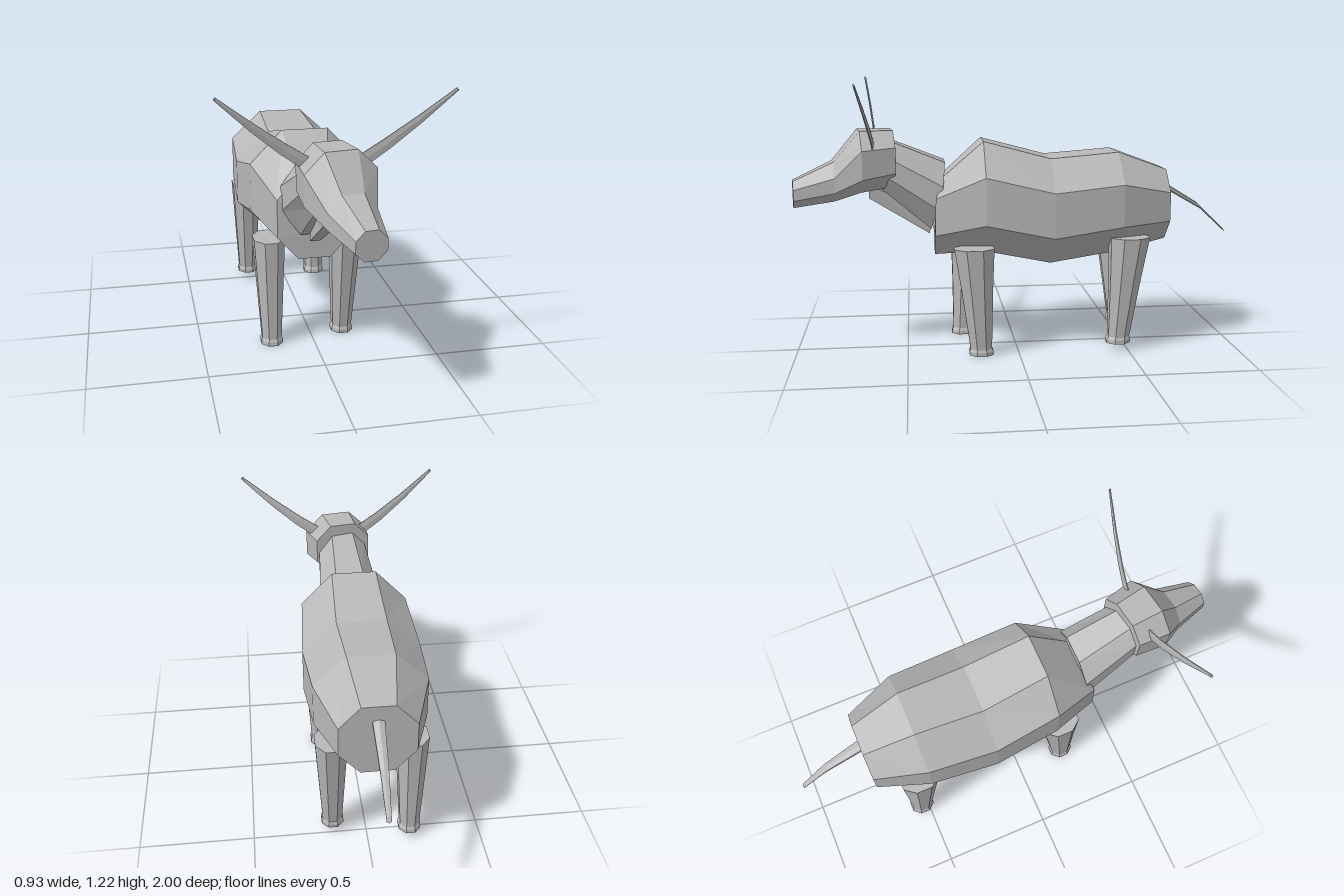
import * as THREE from 'three';

const grey = new THREE.MeshStandardMaterial({ color: 0xb8b8b8, flatShading: true });
grey.name = 'greyHide';

const V = (x, y, z) => new THREE.Vector3(x, y, z);

// Skin a list of equal-length rings (counter-clockwise about the loft direction) and cap both ends
function loft(name, rings) {
  const pos = [];
  const tri = (...pts) => pts.forEach((p) => pos.push(p.x, p.y, p.z));
  const n = rings[0].length;
  for (let k = 0; k < rings.length - 1; k++) {
    const p = rings[k], q = rings[k + 1];
    for (let i = 0; i < n; i++) {
      const j = (i + 1) % n;
      tri(p[i], p[j], q[j]);
      tri(p[i], q[j], q[i]);
    }
  }
  const first = rings[0], last = rings[rings.length - 1];
  for (let i = 1; i < n - 1; i++) {
    tri(first[0], first[i + 1], first[i]);
    tri(last[0], last[i], last[i + 1]);
  }
  const g = new THREE.BufferGeometry();
  g.setAttribute('position', new THREE.Float32BufferAttribute(pos, 3));
  g.computeVertexNormals();
  const mesh = new THREE.Mesh(g, grey);
  mesh.name = name;
  return mesh;
}

// Octagonal section: half widths, four heights from top to bottom, and z at each height
function section(cx, w, flat, [top, up, low, bottom], z) {
  const [zt, zu, zl, zb] = Array.isArray(z) ? z : [z, z, z, z];
  return [
    V(cx + w, low, zl), V(cx + w, up, zu), V(cx + flat, top, zt), V(cx - flat, top, zt),
    V(cx - w, up, zu), V(cx - w, low, zl), V(cx - flat, bottom, zb), V(cx + flat, bottom, zb),
  ];
}

// Elliptical ring spanned by half axes u and v
function ring(c, u, v, n = 8) {
  return Array.from({ length: n }, (_, i) => {
    const a = ((i + 0.5) / n) * Math.PI * 2, s = 1 / Math.cos(Math.PI / n);
    return c.clone().addScaledVector(u, Math.cos(a) * s).addScaledVector(v, Math.sin(a) * s);
  });
}

// Tapered leg with a slightly flared hoof
function leg(name, x, topZ, footZ, footY, topY) {
  const side = Math.sign(x + 0.02);
  // fraction of height, half width in x, half depth in z
  const levels = [[0, 0.048, 0.054], [0.035, 0.048, 0.054], [0.06, 0.043, 0.048],
    [0.62, 0.058, 0.07], [1, 0.068, 0.088]];
  return loft(name, levels.map(([t, rx, rz]) => ring(
    V(x + side * 0.004 * t, footY + (topY - footY) * t, THREE.MathUtils.lerp(footZ, topZ, t)),
    V(0, 0, rz), V(rx, 0, 0))));
}

export function createModel() {
  const model = new THREE.Group();
  model.name = 'longhornAnimal';

  // Barrel body from rump to chest
  model.add(loft('body', [
    section(-0.02, 0.16, 0.07, [0.815, 0.72, 0.59, 0.495], -0.69),
    section(-0.02, 0.24, 0.10, [0.90, 0.77, 0.582, 0.445], -0.46),
    section(-0.02, 0.26, 0.11, [0.875, 0.74, 0.54, 0.40], -0.15),
    section(-0.02, 0.24, 0.10, [0.955, 0.81, 0.60, 0.46], 0.15),
    section(-0.02, 0.16, 0.07, [0.80, 0.71, 0.545, 0.445], [0.325, 0.365, 0.37, 0.37]),
  ]));

  // Neck rising into the back of the head
  model.add(loft('neck', [
    section(-0.02, 0.14, 0.065, [0.86, 0.76, 0.66, 0.56], [0.32, 0.33, 0.355, 0.385]),
    section(-0.01, 0.11, 0.05, [0.965, 0.90, 0.82, 0.75], [0.58, 0.59, 0.60, 0.61]),
  ]));

  // Narrow fold of skin under the neck
  model.add(loft('dewlap', [
    [V(0.0, 0.53, 0.39), V(0.0, 0.62, 0.385), V(-0.045, 0.62, 0.385), V(-0.045, 0.53, 0.39)],
    [V(0.015, 0.70, 0.66), V(0.02, 0.76, 0.655), V(-0.05, 0.76, 0.655), V(-0.045, 0.70, 0.66)],
  ]));

  // Head, turned a little to one side
  const head = loft('head', [
    section(0, 0.13, 0.06, [1.005, 0.935, 0.822, 0.755], 0),
    section(0, 0.15, 0.068, [1.005, 0.925, 0.80, 0.735], 0.147),
    section(0, 0.10, 0.045, [0.87, 0.805, 0.74, 0.697], 0.263),
    section(0, 0.063, 0.027, [0.79, 0.755, 0.708, 0.673], 0.437),
  ]);
  head.position.set(-0.013, 0, 0.555);
  head.rotation.y = 0.15;
  model.add(head);

  // Long flat horns sweeping out and up
  for (const s of [1, -1]) {
    const path = [[0.09, 0.93, 0.63, 0.027], [0.2, 1.005, 0.64, 0.023],
      [0.32, 1.098, 0.658, 0.016], [0.46, 1.218, 0.684, 0.006]];
    const across = V(-0.6 * s, 0.8, 0).multiplyScalar(s);
    model.add(loft(s > 0 ? 'leftHorn' : 'rightHorn', path.map(([x, y, z, r]) =>
      ring(V(x * s, y, z), across.clone().multiplyScalar(r), V(0, 0, 0.004), 6))));
  }

  // Tail, built from tip to root
  const tailPath = [[0.513, -0.995, 0.01], [0.632, -0.87, 0.017], [0.745, -0.68, 0.025]];
  model.add(loft('tail', tailPath.map(([y, z, r]) =>
    ring(V(-0.02, y, z), V(r, 0, 0), V(0, 0.8 * r, 0.5 * r), 6))));

  // Legs in a walking stance
  model.add(
    leg('frontLeftLeg', 0.148, 0.2, 0.17, 0, 0.49),
    leg('frontRightLeg', -0.188, 0.2, 0.235, 0, 0.49),
    leg('backLeftLeg', 0.148, -0.5, -0.455, 0.035, 0.525),
    leg('backRightLeg', -0.188, -0.5, -0.53, 0.035, 0.525),
  );
  return model;
}
